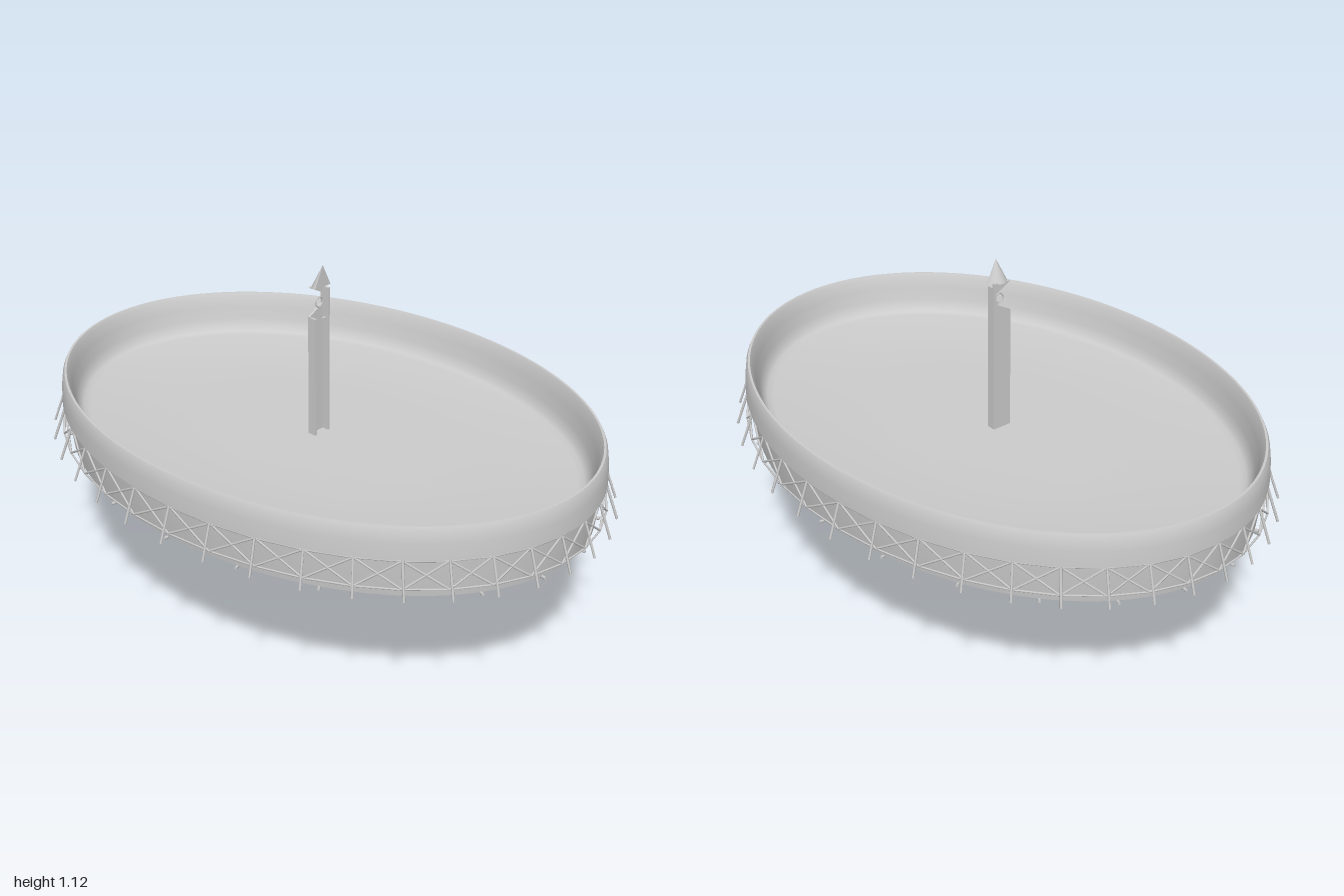
import * as THREE from 'three';
import { mergeGeometries, toCreasedNormals } from 'three/addons/utils/BufferGeometryUtils.js';

const grey = new THREE.MeshStandardMaterial({ color: 0xcccccc, side: THREE.DoubleSide });

function addMesh(parent, name, geometry) {
  const mesh = new THREE.Mesh(geometry, grey);
  mesh.name = name;
  parent.add(mesh);
  return mesh;
}

// Length along z for a given half width: constant wall thickness near the rim, an ellipse inside it.
const halfLength = r => r + 0.27 * Math.min(1, r / 0.6);

// Point on the oval of half width r; angle 0 is the back (-z).
function ovalPoint(r, y, angle) {
  return new THREE.Vector3(r * Math.sin(angle), y, -halfLength(r) * Math.cos(angle));
}

// Thin round bar between two points.
function bar(a, b, radius = 0.004) {
  const dir = b.clone().sub(a);
  const g = new THREE.CylinderGeometry(radius, radius, dir.length(), 6);
  g.applyQuaternion(new THREE.Quaternion().setFromUnitVectors(new THREE.Vector3(0, 1, 0), dir.normalize()));
  const mid = a.clone().add(b).multiplyScalar(0.5);
  return g.translate(mid.x, mid.y, mid.z);
}

// Oval tray: a turned profile stretched along z.
function trayGeometry() {
  const profile = [
    [0, 0.55], [0.3, 0.55], [0.58, 0.55], [0.61, 0.54], [0.635, 0.515], [0.65, 0.472],
    [0.66, 0.472], [0.667, 0.53], [0.672, 0.6], [0.687, 0.6], [0.685, 0.65], [0.68, 0.685],
    [0.674, 0.698], [0.667, 0.698], [0.66, 0.685], [0.652, 0.65], [0.642, 0.61],
    [0.633, 0.582], [0.62, 0.57], [0.6, 0.565], [0.3, 0.56], [0, 0.56],
  ].map(([r, y]) => new THREE.Vector2(r, y));
  const g = new THREE.LatheGeometry(profile, 112);
  const p = g.attributes.position;
  for (let i = 0; i < p.count; i++) {
    const r = Math.hypot(p.getX(i), p.getZ(i));
    if (r > 1e-6) p.setZ(i, p.getZ(i) * halfLength(r) / r);
  }
  return toCreasedNormals(g, 0.8);
}

function createTruss() {
  const truss = new THREE.Group();
  truss.name = 'truss';
  const bays = 39, step = Math.PI * 2 / bays;
  const posts = [], braces = [], rails = [];
  for (let i = 0; i < bays; i++) {
    const a = i * step, b = a + step;
    posts.push(bar(ovalPoint(0.682, 0.6, a), ovalPoint(0.722, 0.49, a)));
    braces.push(bar(ovalPoint(0.68, 0.595, a), ovalPoint(0.69, 0.51, b), 0.0035));
    braces.push(bar(ovalPoint(0.69, 0.51, a), ovalPoint(0.68, 0.595, b), 0.0035));
    rails.push(bar(ovalPoint(0.68, 0.594, a), ovalPoint(0.68, 0.594, b), 0.003));
    rails.push(bar(ovalPoint(0.69, 0.51, a), ovalPoint(0.69, 0.51, b), 0.003));
  }
  addMesh(truss, 'flaredPosts', mergeGeometries(posts));
  addMesh(truss, 'crossBraces', mergeGeometries(braces));
  addMesh(truss, 'rails', mergeGeometries(rails));
  return truss;
}

// Short radial pegs under the bottom edge.
function pegGeometry() {
  const pegs = [];
  for (let i = 0; i < 22; i++) {
    const a = (i + 0.5) * Math.PI * 2 / 22;
    pegs.push(bar(ovalPoint(0.625, 0.47, a), ovalPoint(0.672, 0.47, a), 0.005));
  }
  return mergeGeometries(pegs);
}

function createMast() {
  const mast = new THREE.Group();
  mast.name = 'mast';

  // Back plate with a hooked notch at each end
  const outline = [
    [-0.034, 0.175], [0.02, 0.13], [0.024, 0.095], [-0.034, 0.075], [0.031, 0.075],
    [0.031, 1.055], [-0.034, 1.05], [0.022, 1.02], [0.022, 0.985], [-0.034, 0.955],
  ].map(([x, y]) => new THREE.Vector2(x, y));
  const plate = new THREE.ExtrudeGeometry(new THREE.Shape(outline), { depth: 0.007, bevelEnabled: false });
  addMesh(mast, 'backPlate', plate.translate(0, 0, -0.029));

  // Side flanges making an open channel
  for (const [name, x, low, high] of [['leftFlange', 0.027, 0.13, 1.04], ['rightFlange', -0.03, 0.178, 0.953]]) {
    const flange = addMesh(mast, name, new THREE.BoxGeometry(0.008, high - low, 0.029));
    flange.position.set(x, (low + high) / 2, -0.0145);
  }

  // Half-cone points, flat toward the front
  for (const [name, y, flip] of [['topPoint', 1.085, 1], ['bottomPoint', 0.0375, -1]]) {
    const height = flip > 0 ? 0.07 : 0.075;
    const cone = new THREE.ConeGeometry(0.034, height, 24, 1, false, Math.PI / 2, Math.PI);
    const face = new THREE.ShapeGeometry(new THREE.Shape([
      new THREE.Vector2(-0.034, -height / 2), new THREE.Vector2(0.034, -height / 2), new THREE.Vector2(0, height / 2),
    ]));
    const point = addMesh(mast, name, mergeGeometries([cone, face]));
    point.position.y = y;
    if (flip < 0) point.rotation.z = Math.PI;
  }

  // Small ring and peg at the upper notch
  const ring = addMesh(mast, 'notchRing', new THREE.TorusGeometry(0.015, 0.002, 8, 24));
  ring.position.set(0, 0.997, -0.015);
  const peg = addMesh(mast, 'notchPeg', new THREE.BoxGeometry(0.012, 0.012, 0.008));
  peg.position.set(-0.022, 0.96, 0.025);
  return mast;
}

export function createModel() {
  const model = new THREE.Group();
  model.name = 'ovalTrayOnMast';
  addMesh(model, 'tray', trayGeometry());
  addMesh(model, 'bottomPegs', pegGeometry());
  model.add(createTruss(), createMast());
  return model;
}
